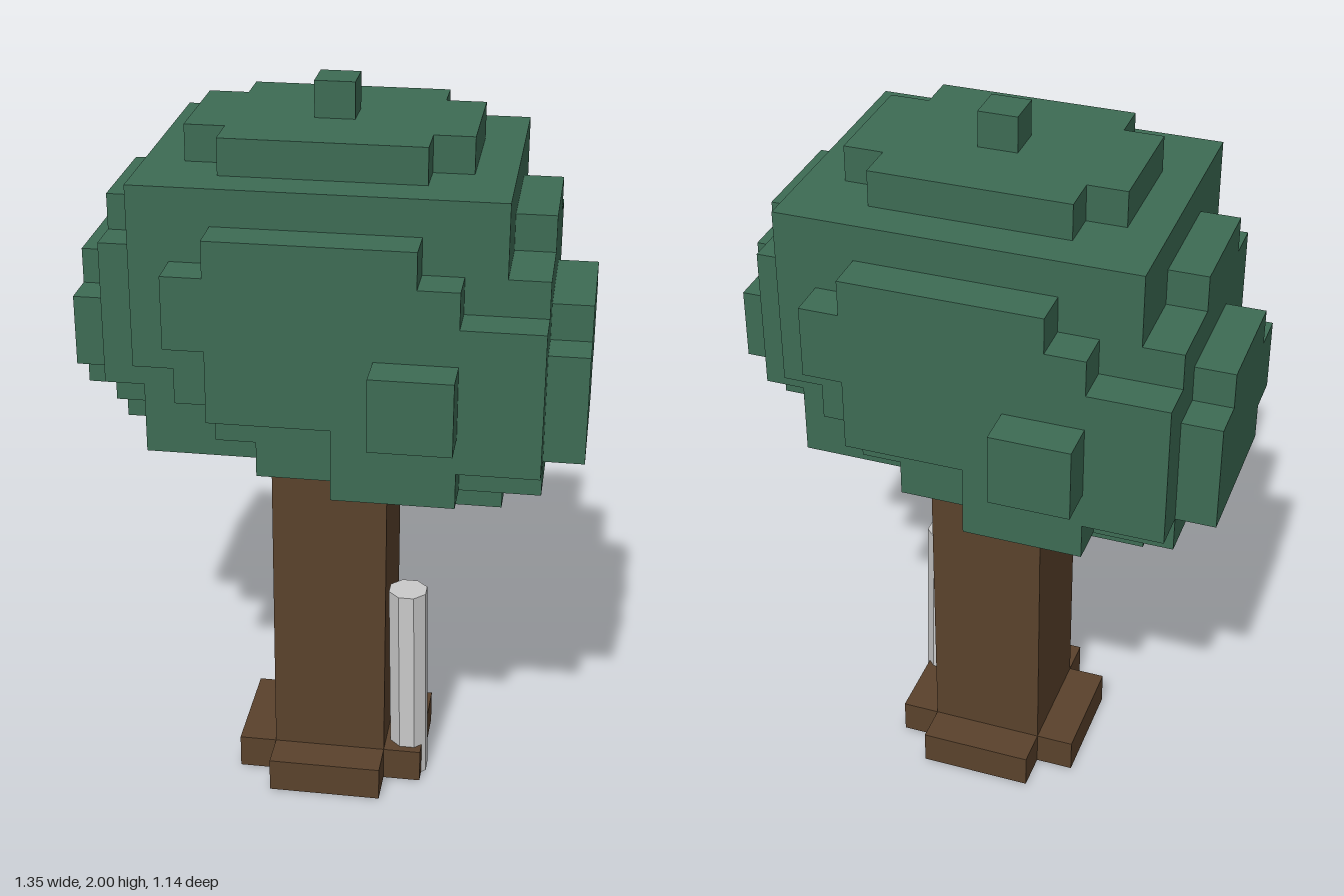
import * as THREE from 'three';
import { mergeGeometries } from 'three/addons/utils/BufferGeometryUtils.js';

const S = 0.1038;   // block width and depth
const H = 2 / 21;   // block height

// Crown layers from the bottom: x range of each row, for z = 0, 1, 2, ...
// Rows at negative z are the same rows turned half a circle.
const CROWN_START = 10;
const CROWN = [
  [[2, 3], [2, 4], [2, 4]],
  [[-5, 5], [-4, 5], [-4, 5], [-1, 5], [1, 3]],
  [[-6, 6], [-5, 6], [-4, 6], [-2, 6], [1, 5]],
  [[-6, 6], [-6, 6], [-5, 6], [-3, 6], [-2, 5], [2, 3]],
  [[-6, 6], [-6, 6], [-5, 6], [-4, 6], [-2, 5], [2, 3]],
  [[-6, 6], [-5, 6], [-5, 6], [-4, 5], [-3, 5]],
  [[-5, 5], [-5, 5], [-5, 5], [-4, 5], [-3, 3]],
  [[-5, 5], [-5, 5], [-4, 4], [-4, 4], [-2, 2]],
  [[-4, 4], [-4, 4], [-4, 4], [-4, 4]],
  [[-3, 3], [-3, 3], [-2, 2]],
  [[0, 0]],
];

const key = (x, y, z) => `${x},${y},${z}`;

// Six block sides: outward direction and the turn that aims a plane that way
const SIDES = [
  [0, 0, 1, 0, 0], [0, 0, -1, 0, Math.PI],
  [1, 0, 0, 0, Math.PI / 2], [-1, 0, 0, 0, -Math.PI / 2],
  [0, 1, 0, -Math.PI / 2, 0], [0, -1, 0, Math.PI / 2, 0],
];

// Joins the exposed faces of a set of blocks into one geometry
function blockGeometry(cells, filled) {
  const faces = [];
  for (const [x, y, z] of cells.values()) {
    for (const [dx, dy, dz, rx, ry] of SIDES) {
      if (filled.has(key(x + dx, y + dy, z + dz))) continue;
      const face = new THREE.PlaneGeometry(1, 1).rotateX(rx).rotateY(ry);
      face.translate(x + dx / 2, y + 0.5 + dy / 2, z + dz / 2);
      faces.push(face.scale(S, H, S));
    }
  }
  return mergeGeometries(faces);
}

export function createModel() {
  const leafGreen = new THREE.MeshStandardMaterial({ color: 0x3d6b54 });
  leafGreen.name = 'leafGreen';
  const barkBrown = new THREE.MeshStandardMaterial({ color: 0x5a422c });
  barkBrown.name = 'barkBrown';
  const paleGrey = new THREE.MeshStandardMaterial({ color: 0xcacaca });
  paleGrey.name = 'paleGrey';

  const model = new THREE.Group();
  model.name = 'blockTree';
  const add = (name, geometry, material) => {
    const mesh = new THREE.Mesh(geometry, material);
    mesh.name = name;
    model.add(mesh);
    return mesh;
  };
  const put = (cells, x, y, z) => cells.set(key(x, y, z), [x, y, z]);

  // Trunk, three blocks square, with a cross-shaped foot
  const trunk = new Map();
  const foot = new Map();
  for (let x = -2; x <= 2; x++) {
    for (let z = -2; z <= 2; z++) {
      if (Math.abs(x) + Math.abs(z) < 4) put(foot, x, 0, z);
      if (Math.abs(x) > 1 || Math.abs(z) > 1) continue;
      for (let y = 1; y <= CROWN_START; y++) put(trunk, x, y, z);
    }
  }

  // Leafy crown
  const crown = new Map();
  CROWN.forEach((rows, layer) => rows.forEach(([x0, x1], z) => {
    for (let x = x0; x <= x1; x++) {
      put(crown, x, CROWN_START + layer, z);
      put(crown, -x, CROWN_START + layer, -z);
    }
  }));

  const filled = new Set([...trunk.keys(), ...foot.keys(), ...crown.keys()]);
  add('trunk', blockGeometry(trunk, filled), barkBrown);
  add('foot', blockGeometry(foot, filled), barkBrown);
  add('crown', blockGeometry(crown, filled), leafGreen);

  // Faceted post leaning slightly against the trunk
  const height = 0.588;
  const post = new THREE.CylinderGeometry(0.055, 0.055, height, 8).toNonIndexed();
  post.rotateY(Math.PI / 8).translate(0, height / 2, 0);
  const p = post.attributes.position;
  for (let i = 0; i < p.count; i++) {
    const t = p.getY(i) / height;
    p.setX(i, p.getX(i) + 0.221 - 0.011 * t);
    p.setZ(i, p.getZ(i) + 0.081 + 0.008 * t);
  }
  post.computeVertexNormals();
  add('post', post, paleGrey);

  return model;
}
